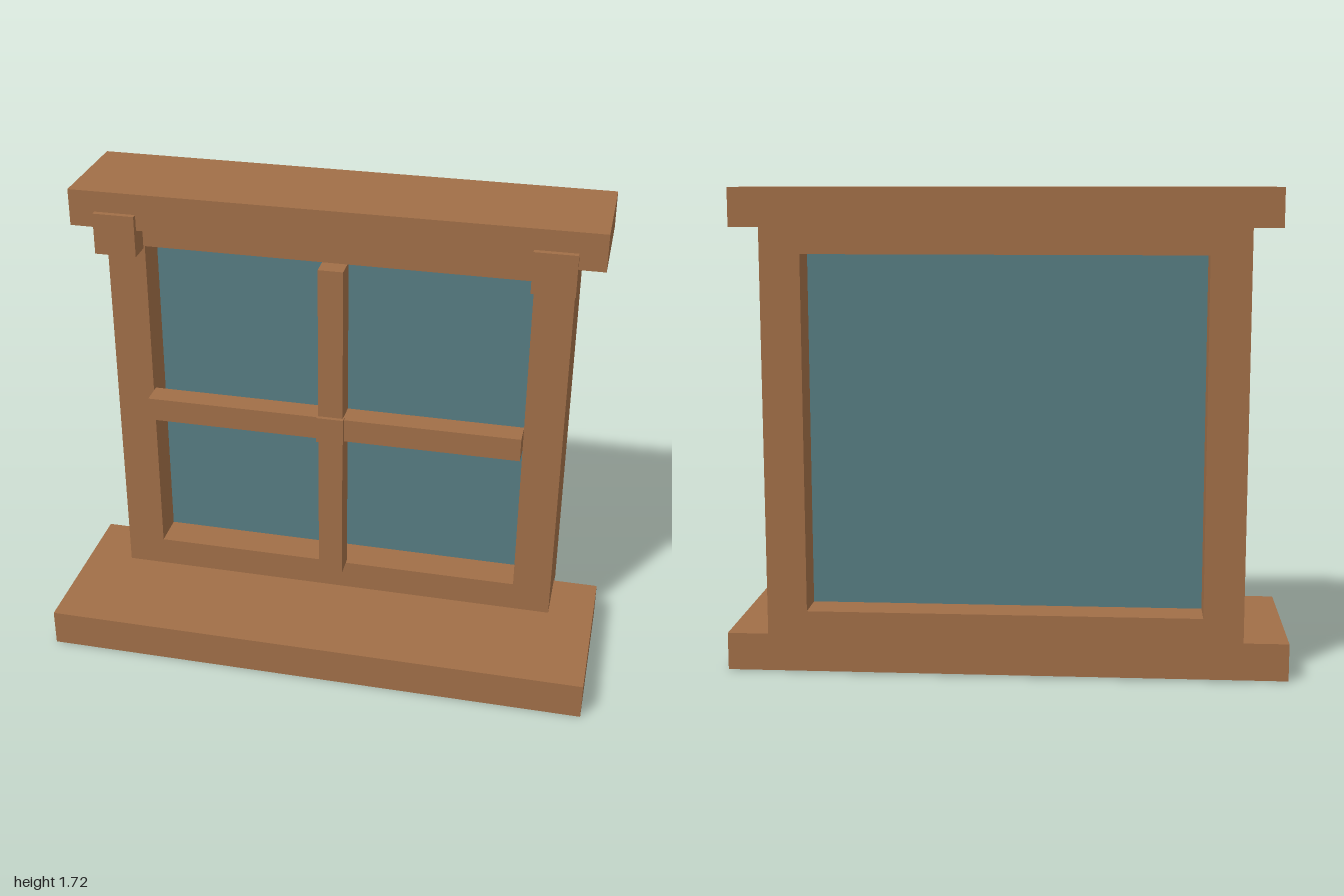
import * as THREE from 'three';

export function createModel() {
  const group = new THREE.Group();
  const wood = new THREE.MeshStandardMaterial({ color: 0xa06e47 });
  wood.name = 'wood';
  const glass = new THREE.MeshStandardMaterial({ color: 0x567b81 });
  glass.name = 'glass';

  // Box given by its extents along each axis
  function box(name, material, [x0, x1], [y0, y1], [z0, z1]) {
    const mesh = new THREE.Mesh(new THREE.BoxGeometry(x1 - x0, y1 - y0, z1 - z0), material);
    mesh.position.set((x0 + x1) / 2, (y0 + y1) / 2, (z0 + z1) / 2);
    mesh.name = name;
    group.add(mesh);
  }

  function rectangle(PathType, halfWidth, y0, y1) {
    const path = new PathType();
    path.moveTo(-halfWidth, y0);
    path.lineTo(halfWidth, y0);
    path.lineTo(halfWidth, y1);
    path.lineTo(-halfWidth, y1);
    path.closePath();
    return path;
  }

  // Sill and lintel
  box('sill', wood, [-1, 1], [0, 0.135], [-0.267, 0.367]);
  box('lintel', wood, [-0.933, 0.933], [1.587, 1.72], [-0.367, 0.033]);

  // Frame around the opening
  const outline = rectangle(THREE.Shape, 0.833, 0.103, 1.637);
  outline.holes.push(rectangle(THREE.Path, 0.693, 0.245, 1.495));
  const frame = new THREE.Mesh(
    new THREE.ExtrudeGeometry(outline, { depth: 0.3, bevelEnabled: false }), wood);
  frame.position.z = -0.35;
  frame.name = 'frame';
  group.add(frame);

  // Pane set in the middle of the frame
  box('pane', glass, [-0.693, 0.693], [0.245, 1.495], [-0.22, -0.18]);

  // Crossing glazing bars with a block at the joint
  box('verticalBar', wood, [-0.045, 0.045], [0.245, 1.495], [-0.07, 0.02]);
  box('horizontalBar', wood, [-0.692, 0.692], [0.827, 0.915], [-0.07, 0.0195]);
  box('centreBlock', wood, [-0.05, 0.05], [0.82, 0.92], [0.005, 0.035]);

  // Corner blocks under the lintel
  for (const [side, name] of [[1, 'leftCornerBlock'], [-1, 'rightCornerBlock']]) {
    const x = side * 0.766;
    box(name, wood, [x - 0.075, x + 0.075], [1.495, 1.645], [-0.03, 0.053]);
  }

  return group;
}
